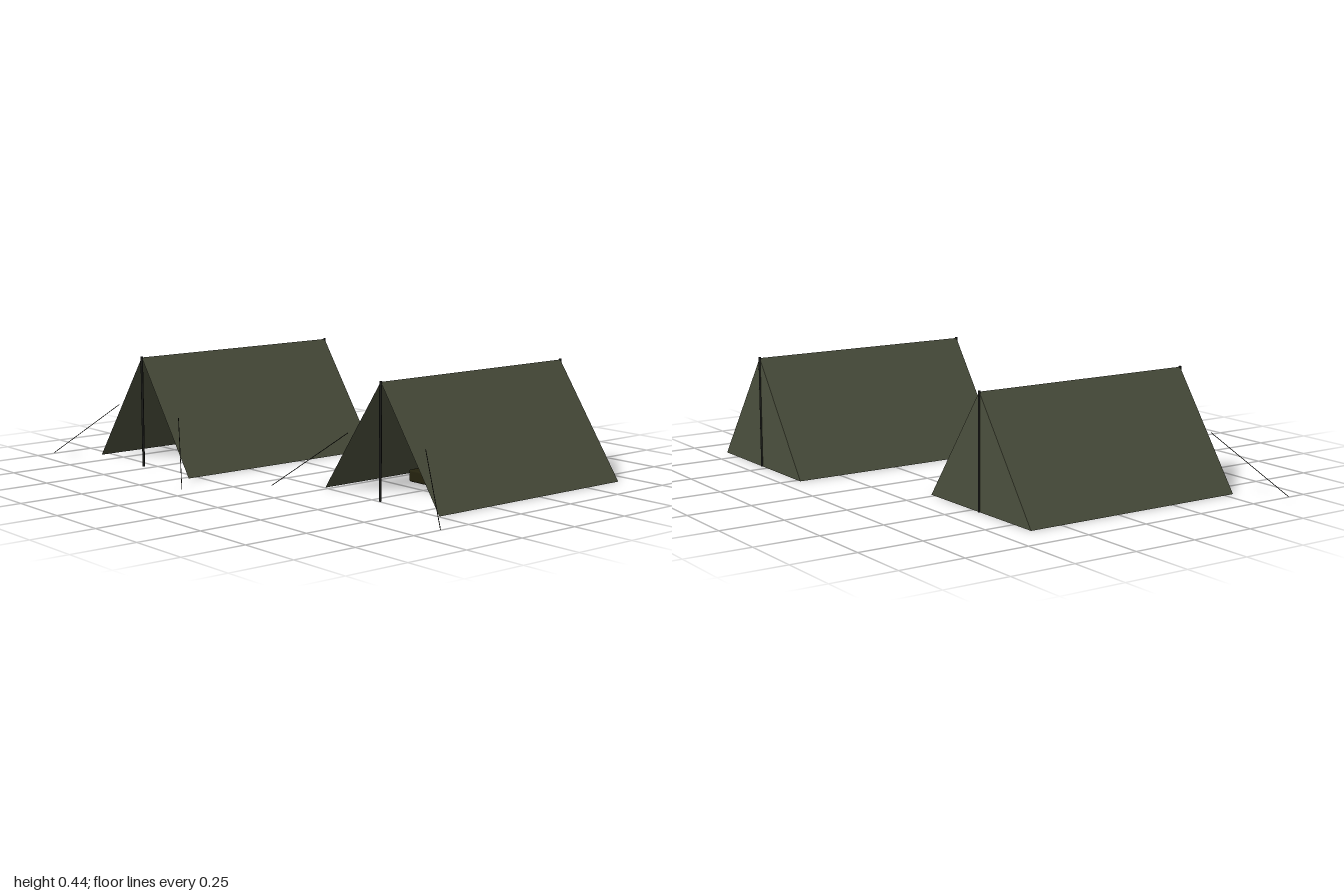
import * as THREE from 'three';
import { RoundedBoxGeometry } from 'three/addons/geometries/RoundedBoxGeometry.js';

const canvas = new THREE.MeshStandardMaterial({ name: 'olive canvas', color: 0x4b4f3d, side: THREE.DoubleSide });
const poleDark = new THREE.MeshStandardMaterial({ name: 'dark pole', color: 0x1c1d1a });
const ropeDark = new THREE.MeshStandardMaterial({ name: 'dark rope', color: 0x1c1c16 });
const bedding = new THREE.MeshStandardMaterial({ name: 'dark brown bedding', color: 0x24220e });

const HALF_WIDTH = 0.31, HEIGHT = 0.432, LENGTH = 0.92;

function add(parent, name, geometry, material) {
  const mesh = new THREE.Mesh(geometry, material);
  mesh.name = name;
  parent.add(mesh);
  return mesh;
}

// Thin round bar between two points
function bar(parent, name, a, b, radius, sides, material) {
  const from = new THREE.Vector3(...a), to = new THREE.Vector3(...b);
  const dir = to.clone().sub(from);
  const mesh = add(parent, name, new THREE.CylinderGeometry(radius, radius, dir.length(), sides), material);
  mesh.position.copy(from).lerp(to, 0.5);
  mesh.quaternion.setFromUnitVectors(new THREE.Vector3(0, 1, 0), dir.normalize());
}

// One tent, centred on its own base
function createTent(name) {
  const tent = new THREE.Group();
  tent.name = name;
  const front = LENGTH / 2;

  // Sloping roof sheets
  const slope = Math.hypot(HALF_WIDTH, HEIGHT);
  for (const side of [-1, 1]) {
    const sheet = new THREE.PlaneGeometry(LENGTH, slope);
    sheet.rotateY(side * Math.PI / 2);
    sheet.rotateZ(side * Math.atan2(HALF_WIDTH, HEIGHT));
    sheet.translate(side * HALF_WIDTH / 2, HEIGHT / 2, 0);
    add(tent, side < 0 ? 'rightRoofSheet' : 'leftRoofSheet', sheet, canvas);
  }

  // Closed back wall
  const triangle = new THREE.Shape([
    new THREE.Vector2(-HALF_WIDTH, 0), new THREE.Vector2(HALF_WIDTH, 0), new THREE.Vector2(0, HEIGHT)]);
  const back = new THREE.ShapeGeometry(triangle);
  back.rotateY(Math.PI);
  add(tent, 'backWall', back, canvas).position.z = -front;

  // Upright poles at both ends
  bar(tent, 'frontPole', [0, 0, front], [0, HEIGHT + 0.003, front], 0.005, 8, poleDark);
  bar(tent, 'backPole', [0, 0, -front], [0, HEIGHT + 0.003, -front], 0.005, 8, poleDark);

  // Guy ropes
  for (const side of [-1, 1]) {
    bar(tent, side < 0 ? 'rightRope' : 'leftRope',
      [side * 0.21, 0.217, front - 0.025], [side * 0.46, 0.002, front + 0.135], 0.0014, 5, ropeDark);
  }

  // Bedroll on the centre line
  add(tent, 'bedroll', new RoundedBoxGeometry(0.2, 0.046, 0.47, 2, 0.008), bedding).position.y = 0.05;
  return tent;
}

export function createModel() {
  const model = new THREE.Group();
  model.name = 'tents';
  const right = createTent('rightTent');
  right.position.set(-0.54, 0, 0.08);
  const left = createTent('leftTent');
  left.position.set(0.54, 0, -0.215);
  model.add(right, left);
  return model;
}
